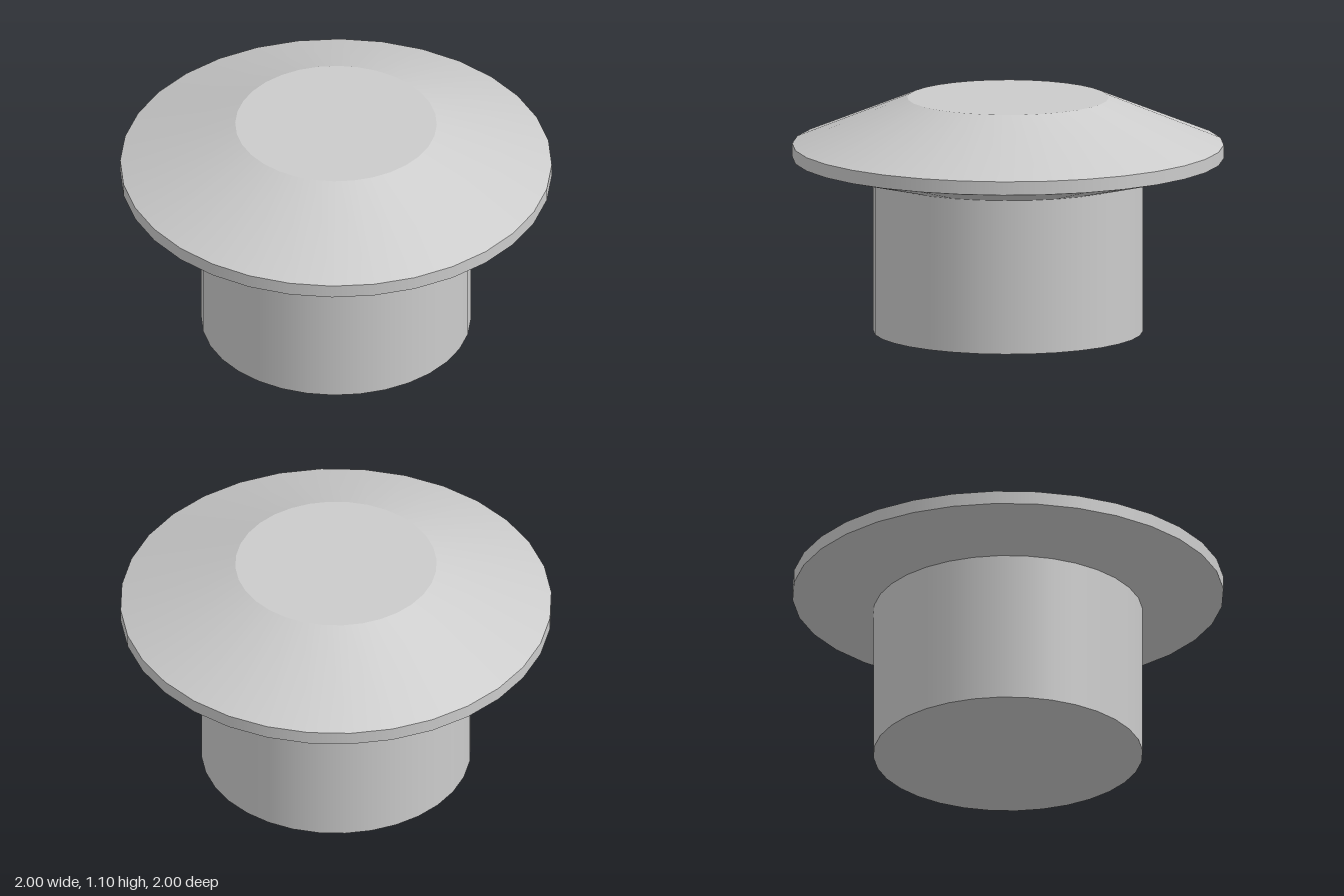
import * as THREE from 'three';

const SEGMENTS = 32;

export function createModel() {
  const model = new THREE.Group();
  model.name = 'flangedPlug';
  const material = new THREE.MeshStandardMaterial({ color: 0xcccccc });

  // One smooth band of revolution; separate bands keep the edges between them sharp
  const addBand = (parent, name, from, to) => {
    const points = [new THREE.Vector2(...from), new THREE.Vector2(...to)];
    const mesh = new THREE.Mesh(new THREE.LatheGeometry(points, SEGMENTS), material);
    mesh.name = name;
    parent.add(mesh);
  };

  // Stem: closed base and straight wall
  const stem = new THREE.Group();
  stem.name = 'stem';
  addBand(stem, 'stemBase', [0, 0], [0.625, 0]);
  addBand(stem, 'stemWall', [0.625, 0], [0.625, 0.723]);

  // Head: flared underside, thin rim, sloped crown and flat top
  const head = new THREE.Group();
  head.name = 'head';
  addBand(head, 'headUnderside', [0.625, 0.723], [1, 0.815]);
  addBand(head, 'headRim', [1, 0.815], [1, 0.878]);
  addBand(head, 'headCrown', [1, 0.878], [0.467, 1.098]);
  addBand(head, 'headTop', [0.467, 1.098], [0, 1.098]);

  model.add(stem, head);
  return model;
}
